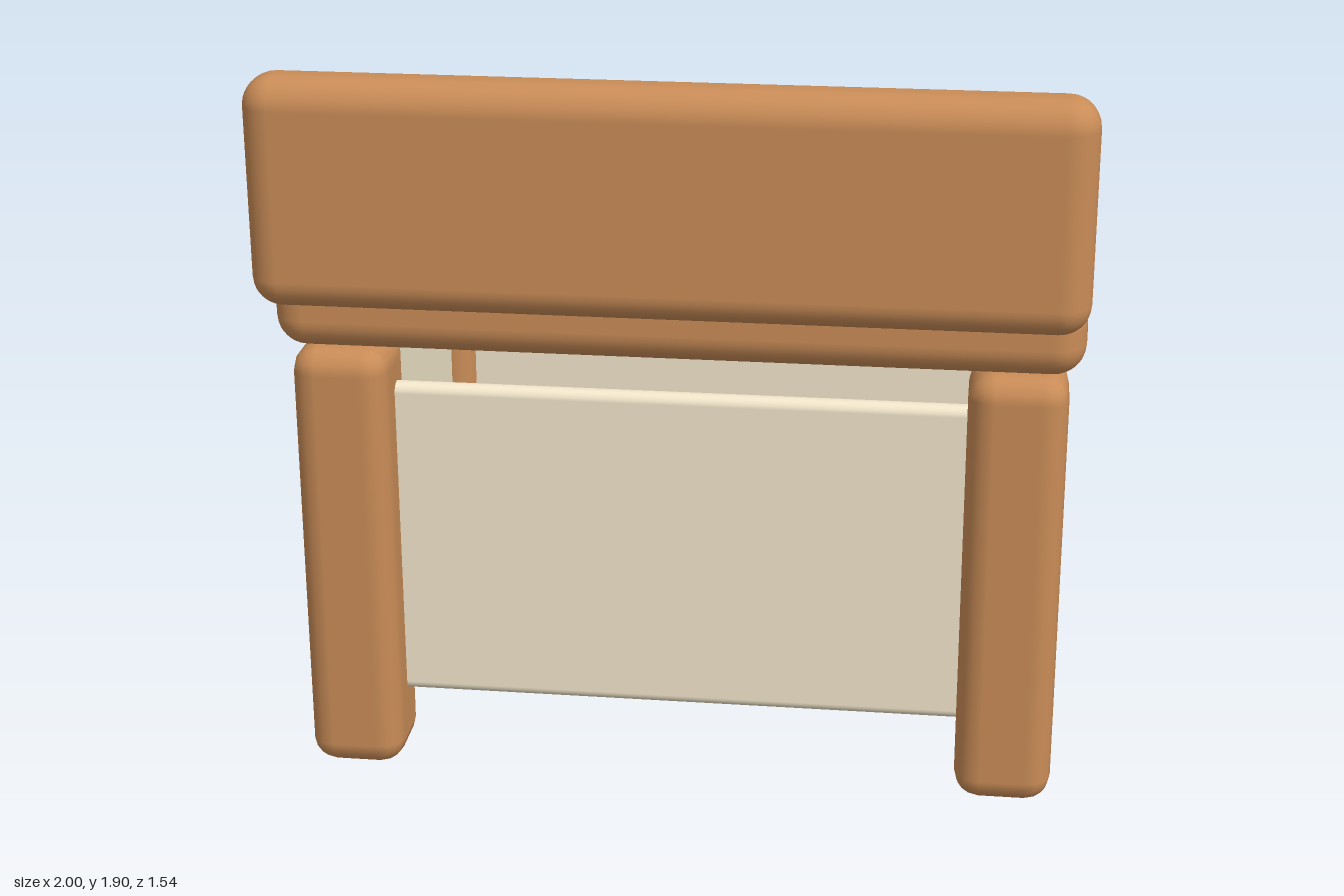
import * as THREE from 'three';
import { RoundedBoxGeometry } from 'three/addons/geometries/RoundedBoxGeometry.js';

const wood = new THREE.MeshStandardMaterial({ color: 0xc98c57 });
const cream = new THREE.MeshStandardMaterial({ color: 0xf2e6cb });
const dish = new THREE.MeshStandardMaterial({ color: 0xf2e6cb, side: THREE.DoubleSide });

// Rounded block given by its minimum and maximum corners
function block(name, min, max, radius, segments, material) {
  const size = max.map((v, i) => v - min[i]);
  const mesh = new THREE.Mesh(new RoundedBoxGeometry(...size, segments, radius), material);
  mesh.position.set(...max.map((v, i) => (v + min[i]) / 2));
  mesh.name = name;
  return mesh;
}

export function createModel() {
  const group = new THREE.Group();
  group.name = 'cabinet';

  // Table top and the board standing in front of it
  group.add(block('tableTop', [-1, 1.162, -0.77], [1, 1.365, 0.59], 0.08, 4, wood));
  group.add(block('frontBoard', [-1, 1.328, 0.6], [1, 1.897, 0.77], 0.075, 4, wood));

  for (const [sideName, s] of [['Left', 1], ['Right', -1]]) {
    // Front and back leg
    const x0 = Math.min(s * 0.72, s * 0.965);
    for (const [endName, z0] of [['front', 0.336], ['back', -0.735]]) {
      group.add(block(`${endName}${sideName}Leg`, [x0, 0, z0], [x0 + 0.245, 1.16, z0 + 0.246], 0.065, 2, wood));
    }
    // Side panel between the legs
    group.add(block(`side${sideName}Panel`, [s * 0.813 - 0.027, 0.184, -0.58], [s * 0.813 + 0.027, 1.045, 0.47], 0.025, 3, cream));
  }

  // Front and back panels
  for (const [name, z] of [['frontPanel', 0.452], ['backPanel', -0.563]]) {
    group.add(block(name, [-0.83, 0.184, z - 0.027], [0.83, 1.045, z + 0.027], 0.025, 3, cream));
  }

  // Rails across the back
  for (const [name, y] of [['lowerBackRail', 0.092], ['upperBackRail', 1.02]]) {
    group.add(block(name, [-0.8, y, -0.685], [0.8, y + 0.14, -0.545], 0.05, 3, wood));
  }

  // Shallow basin on the table top
  const profile = [
    [0, 1.366], [0.25, 1.367], [0.32, 1.388], [0.385, 1.41], [0.383, 1.415],
    [0.365, 1.407], [0.33, 1.394], [0.25, 1.382], [0.12, 1.376], [0, 1.374],
  ].map(([r, y]) => new THREE.Vector2(r, y));
  const basin = new THREE.Mesh(new THREE.LatheGeometry(profile, 40), dish);
  basin.position.set(0.09, 0, -0.135);
  basin.name = 'basin';
  group.add(basin);

  return group;
}
